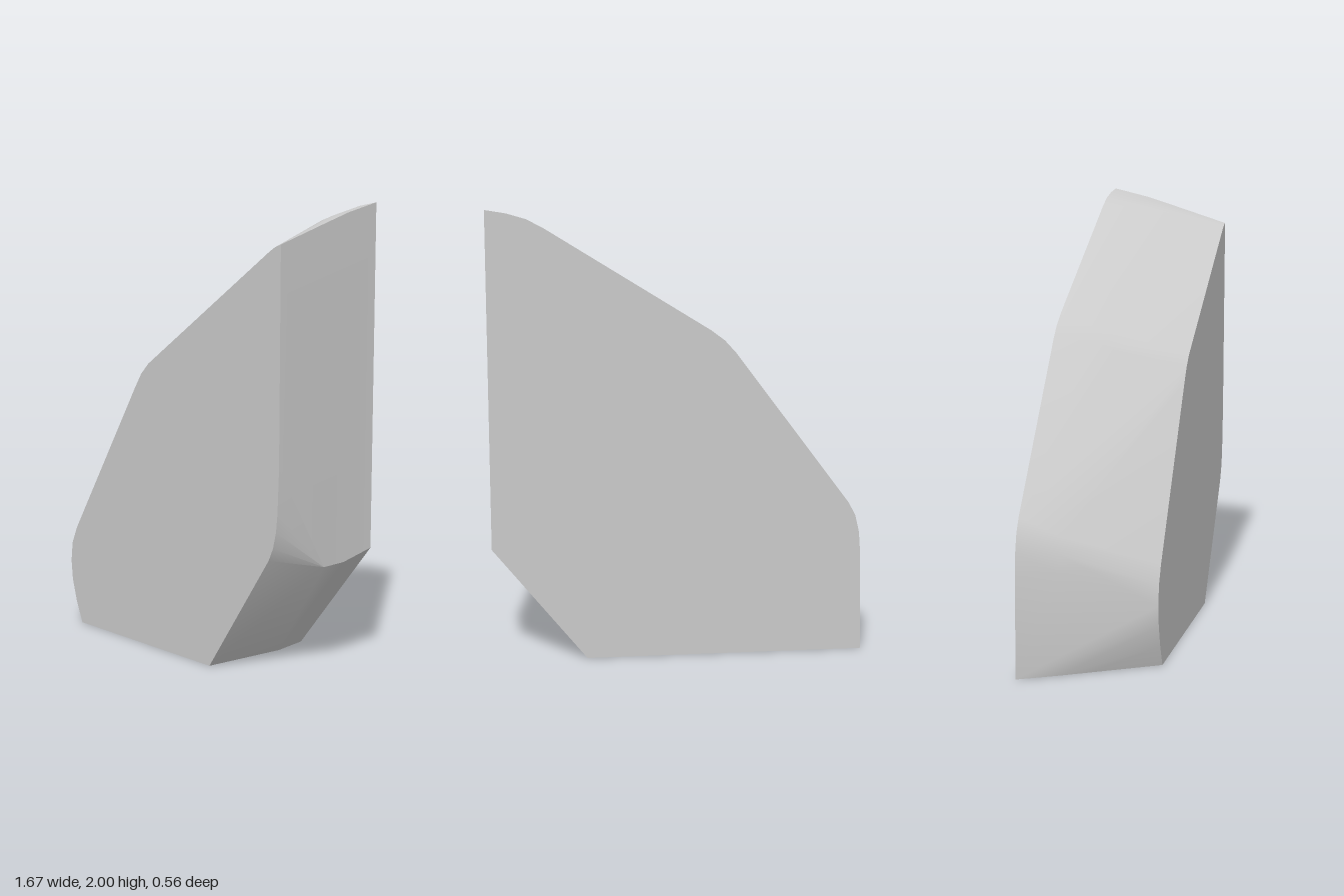
import * as THREE from 'three';
import { toCreasedNormals } from 'three/addons/utils/BufferGeometryUtils.js';
import { ConvexGeometry } from 'three/addons/geometries/ConvexGeometry.js';

const DEPTH = 0.28;

// Upper-left outlines, from the bottom left corner up to the top right corner
const backCurve = [
  [-0.835, 0], [-0.825, 0.45], [-0.817, 0.55], [-0.798, 0.63], [-0.765, 0.69],
  [-0.25, 1.375], [-0.2, 1.43], [-0.14, 1.475], [0.58, 1.92], [0.655, 1.96], [0.74, 1.985], [0.832, 2],
];
const frontCurve = [
  [-0.505, 0], [-0.548, 0.1], [-0.577, 0.2], [-0.586, 0.29], [-0.576, 0.38],
  [-0.54, 0.46], [-0.09, 1.18], [-0.05, 1.24], [0, 1.29], [0.77, 1.807], [0.8, 1.824], [0.832, 1.835],
];

// Lower-right outlines, from the straight right side down to the base
const backCorner = [[0.832, 0.515], [0.415, 0]];
const frontCorner = [[0.832, 0.93], [0.825, 0.74], [0.817, 0.66], [0.8, 0.59], [0.775, 0.535], [0.41, 0]];

const at = (outline, z) => outline.map(([x, y]) => new THREE.Vector3(x, y, z));

// Slightly swollen cross-section of the sloping wall between back and front
function middleCurve(t, swell) {
  return backCurve.map(([bx, by], i) => {
    const [fx, fy] = frontCurve[i];
    const x = THREE.MathUtils.lerp(bx, fx, t);
    const y = THREE.MathUtils.lerp(by, fy, t);
    const onBase = i === 0, onSide = i === backCurve.length - 1;
    return new THREE.Vector3(
      onSide ? x : x - swell * (onBase ? 0.3 : 0.85),
      onBase ? 0 : y + swell * 0.5,
      THREE.MathUtils.lerp(-DEPTH, DEPTH, t),
    );
  });
}

export function createModel() {
  const group = new THREE.Group();
  const points = [
    ...at(backCurve, -DEPTH), ...at(backCorner, -DEPTH),
    ...at(frontCurve, DEPTH), ...at(frontCorner, DEPTH),
    ...middleCurve(0.3, 0.018), ...middleCurve(0.5, 0.014),
    // Bulge of the lower right chamfer
    ...at([[0.832, 0.478], [0.443, 0]], -0.11),
    ...at([[0.832, 0.475]], 0.01),
  ];
  const geometry = toCreasedNormals(new ConvexGeometry(points), 0.5);
  const stone = new THREE.Mesh(geometry, new THREE.MeshStandardMaterial({ color: 0xcccccc }));
  stone.name = 'stoneBlock';
  group.add(stone);
  return group;
}
